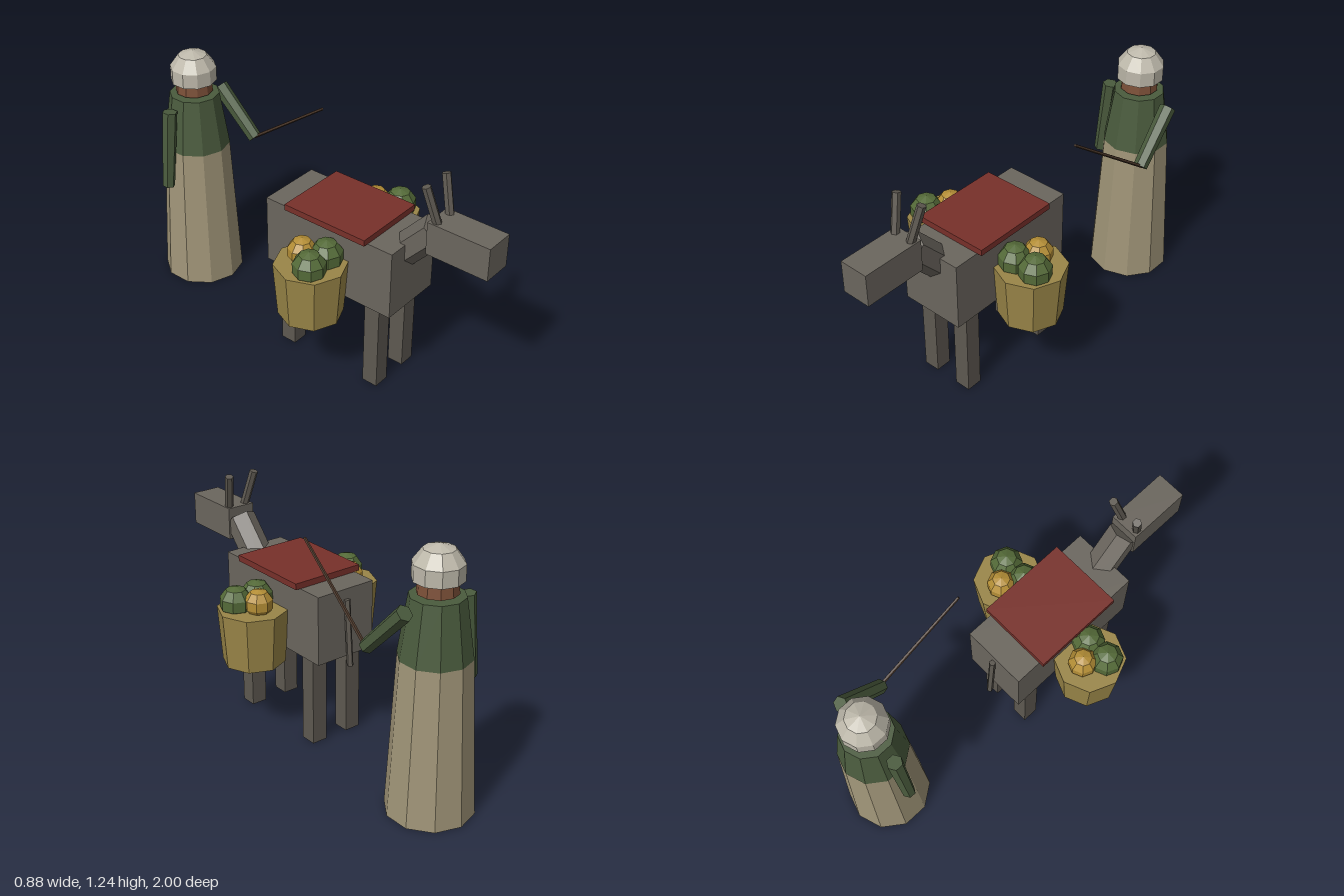
import * as THREE from 'three';

const mat = (color, extra = {}) =>
  new THREE.MeshStandardMaterial({ color, flatShading: true, ...extra });

export function createModel() {
  const hide = mat(0x6b665e), legHide = mat(0x5e5951), red = mat(0x78302a);
  const wicker = mat(0x9a8648), green = mat(0x546a38), gold = mat(0xb48e36);
  const coat = mat(0x4a5b3d), cloth = mat(0xa09578, { side: THREE.DoubleSide });
  const skin = mat(0x7c5038), wool = mat(0xbdb8aa, { side: THREE.DoubleSide }), wood = mat(0x4c382a);

  const model = new THREE.Group();
  const group = (name, parent = model) => {
    const g = new THREE.Group();
    g.name = name;
    parent.add(g);
    return g;
  };
  const add = (parent, name, geometry, material, x = 0, y = 0, z = 0) => {
    const m = new THREE.Mesh(geometry, material);
    m.name = name;
    m.position.set(x, y, z);
    parent.add(m);
    return m;
  };
  const box = (parent, name, material, [w, h, d], [x, y, z]) =>
    add(parent, name, new THREE.BoxGeometry(w, h, d), material, x, y, z);
  // Faceted rod running from point a (radius ra) to point b (radius rb)
  const rod = (parent, name, material, a, b, ra, rb, sides) => {
    const A = new THREE.Vector3(...a), B = new THREE.Vector3(...b);
    const dir = B.clone().sub(A);
    const m = add(parent, name, new THREE.CylinderGeometry(rb, ra, dir.length(), sides), material);
    m.position.copy(A).add(B).multiplyScalar(0.5);
    m.quaternion.setFromUnitVectors(new THREE.Vector3(0, 1, 0), dir.normalize());
    return m;
  };

  // Pack animal
  const animal = group('donkey');
  box(animal, 'body', hide, [0.32, 0.34, 0.71], [0, 0.62, 0.225]);
  box(animal, 'head', hide, [0.145, 0.16, 0.31], [0, 0.88, 0.845]);
  rod(animal, 'neck', hide, [0, 0.627, 0.455], [0, 0.895, 0.698], 0.075, 0.075, 6);
  rod(animal, 'tail', legHide, [0, 0.74, -0.14], [0, 0.415, -0.165], 0.016, 0.016, 5);
  box(animal, 'saddleCloth', red, [0.372, 0.03, 0.45], [0, 0.805, 0.225]);

  for (const side of [-1, 1]) {
    const label = side > 0 ? 'left' : 'right';
    for (const [end, z] of [['Front', 0.47], ['Back', -0.024]])
      box(animal, `${label}${end}Leg`, legHide, [0.08, 0.47, 0.08], [side * 0.1, 0.235, z]);
    rod(animal, `${label}Ear`, legHide, [side * 0.042, 0.93, 0.73], [side * 0.073, 1.13, 0.675], 0.021, 0.021, 6);

    // Side basket with produce
    const load = group(`${label}Load`, animal);
    add(load, 'basket', new THREE.CylinderGeometry(0.17, 0.15, 0.27, 8), wicker, side * 0.27, 0.515, 0.223);
    const produce = [[0.333, 0.68, 0.267, 0.08], [0.215, 0.68, 0.267, 0.08], [0.27, 0.69, 0.173, 0.07]];
    produce.forEach(([x, y, z, r], i) =>
      add(load, i < 2 ? 'greenFruit' : 'yellowFruit', new THREE.SphereGeometry(r, 8, 5),
        i < 2 ? green : gold, side * x, y, z));
  }

  // Drover walking behind
  const person = group('drover');
  const px = 0.073, pz = -0.798;
  add(person, 'skirt', new THREE.CylinderGeometry(0.162, 0.202, 0.74, 10, 1, true), cloth, px, 0.37, pz);
  add(person, 'jacket', new THREE.CylinderGeometry(0.122, 0.163, 0.275, 10), coat, px, 0.8775, pz);
  add(person, 'face', new THREE.CylinderGeometry(0.08, 0.091, 0.12, 10), skin, px, 1.086, pz);
  add(person, 'headwrap',
    new THREE.SphereGeometry(0.118, 10, 3, Math.PI / 2, Math.PI * 2, 0, Math.PI * 0.6), wool, px, 1.12, pz);
  rod(person, 'rightArm', coat, [-0.142, 0.58, pz], [-0.1, 0.975, pz], 0.031, 0.037, 6);
  rod(person, 'leftArm', coat, [0.262, 0.755, -0.58], [0.248, 0.98, -0.795], 0.034, 0.039, 6);
  rod(person, 'stick', wood, [0.268, 0.753, -0.59], [0.225, 1.09, -0.12], 0.009, 0.007, 5);

  return model;
}
